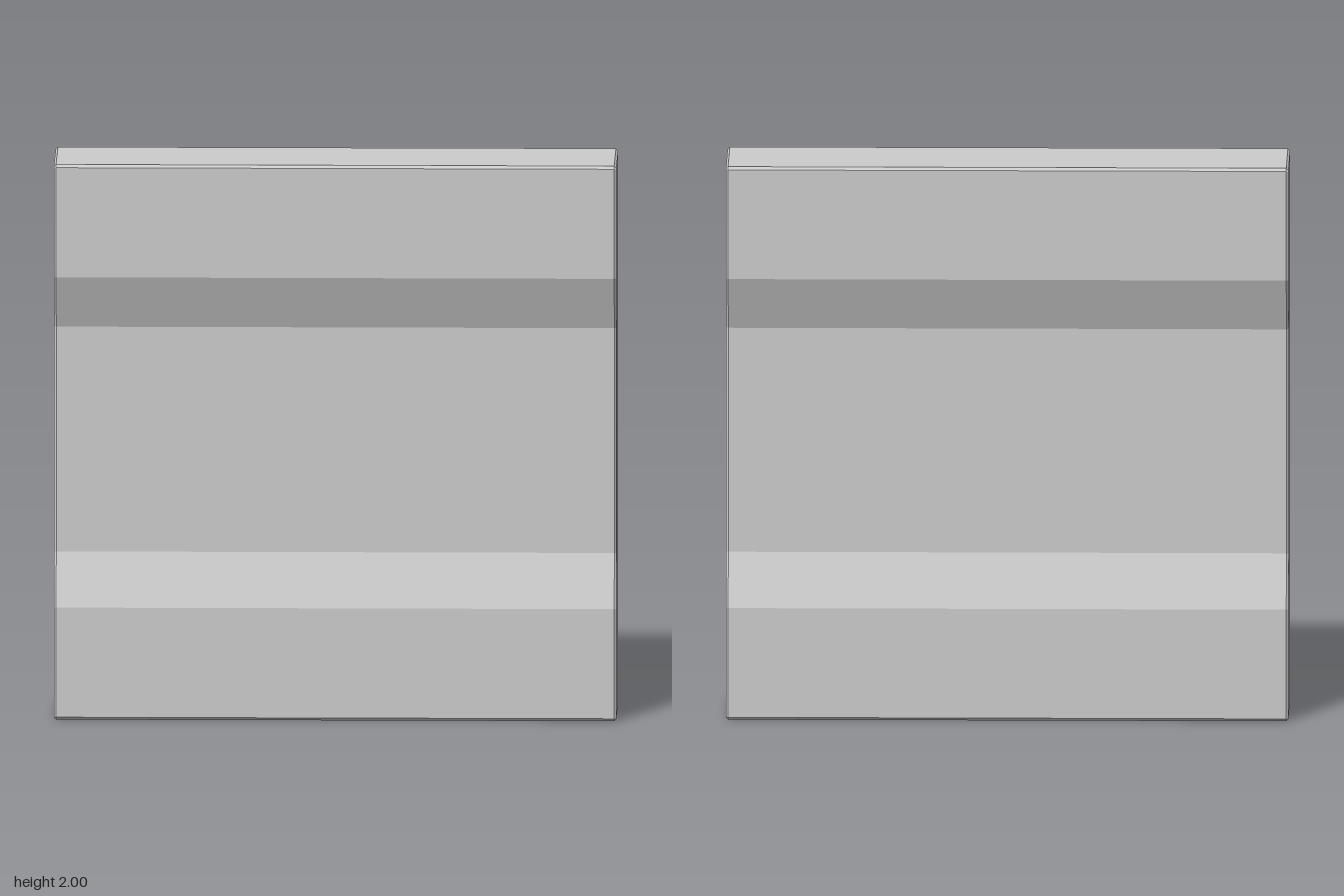
import * as THREE from 'three';

export function createModel() {
  const group = new THREE.Group();
  const bevel = 0.008;

  // Half of the side profile (half thickness, height), from bottom to top
  const half = [
    [0.19, 0], [0.2, 0.01], [0.2, 0.405], [0.125, 0.595],
    [0.125, 1.405], [0.2, 1.595], [0.2, 1.99], [0.19, 2],
  ];
  const mirrored = half.map(([z, y]) => [-z, y]).reverse();
  const profile = new THREE.Shape([...half, ...mirrored].map(([z, y]) => new THREE.Vector2(z, y)));

  // Wall slab: profile swept along x, with a fine bevel around both ends
  const geometry = new THREE.ExtrudeGeometry(profile, {
    depth: 2 - 2 * bevel,
    bevelEnabled: true,
    bevelThickness: bevel,
    bevelSize: bevel,
    bevelOffset: -bevel,
    bevelSegments: 1,
  });
  geometry.translate(0, 0, bevel - 1);
  geometry.rotateY(Math.PI / 2);

  const wall = new THREE.Mesh(geometry, new THREE.MeshStandardMaterial({ color: 0xcccccc }));
  wall.name = 'wallPanel';
  group.add(wall);
  return group;
}
